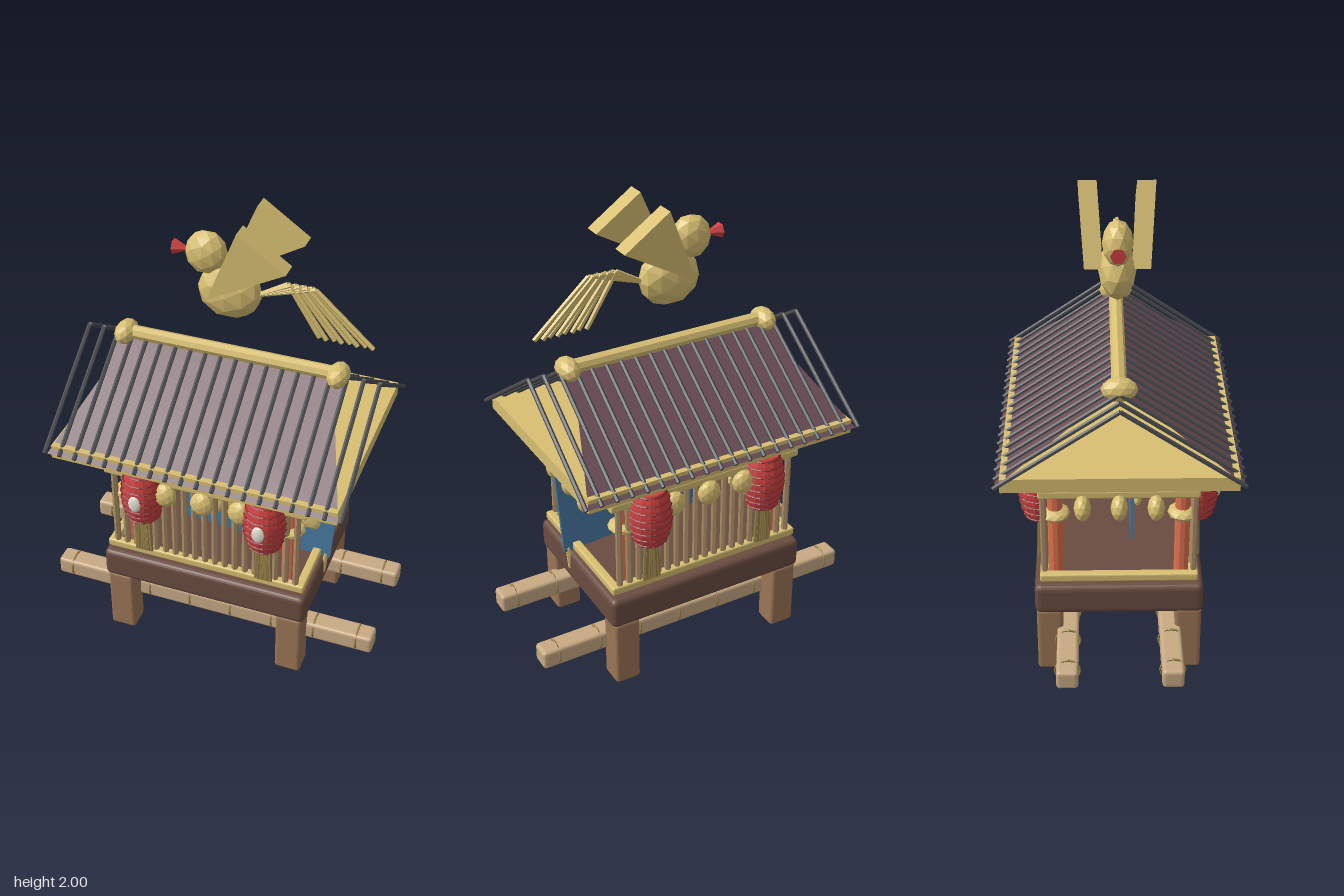
import * as THREE from 'three';
import { RoundedBoxGeometry } from 'three/addons/geometries/RoundedBoxGeometry.js';

const mat = (color, extra = {}) => new THREE.MeshStandardMaterial({ color, flatShading: true, ...extra });
const M = {
  gold: mat(0xd8bf72), wood: mat(0x9b7655), base: mat(0x6a4c40), pole: mat(0xc8aa84),
  bar: mat(0xa98c66), roof: mat(0x6b4c54), iron: mat(0x4b4c50), blue: mat(0x4a7ba5),
  post: mat(0xe0714f), red: mat(0xcc4040), dark: mat(0x7a2626), white: mat(0xe8e4d8), tassel: mat(0x9a8348)
};

export function createModel() {
  const root = new THREE.Group();
  const signs = [-1, 1];

  const add = (name, geo, material, x = 0, y = 0, z = 0, parent = root) => {
    const m = new THREE.Mesh(geo, material);
    m.name = name;
    m.position.set(x, y, z);
    parent.add(m);
    return m;
  };
  const box = (name, w, h, d, material, x, y, z, r = 0.012) =>
    add(name, new RoundedBoxGeometry(w, h, d, 2, r), material, x, y, z);
  const ball = (name, rx, ry, rz, material, x, y, z, parent = root) => {
    const m = add(name, new THREE.IcosahedronGeometry(1, 1), material, x, y, z, parent);
    m.scale.set(rx, ry, rz);
    return m;
  };
  // Straight round rod between two points
  const rod = (name, a, b, r, material, parent = root, sides = 6) => {
    const A = new THREE.Vector3(...a), B = new THREE.Vector3(...b);
    const m = add(name, new THREE.CylinderGeometry(r, r, A.distanceTo(B), sides), material, 0, 0, 0, parent);
    m.position.copy(A).add(B).multiplyScalar(0.5);
    m.quaternion.setFromUnitVectors(new THREE.Vector3(0, 1, 0), B.sub(A).normalize());
    return m;
  };

  // Carrying poles with binding rings
  for (const s of signs) {
    box('carryingPole', 1.48, 0.085, 0.09, M.pole, 0, 0.18, s * 0.215, 0.015);
    for (let i = 0; i < 8; i++) {
      const ring = add('poleRing', new THREE.TorusGeometry(0.051, 0.005, 5, 16), M.tassel, -0.67 + i * 0.1914, 0.18, s * 0.215);
      ring.rotation.y = Math.PI / 2;
    }
  }

  // Base and legs
  box('base', 0.92, 0.14, 0.7, M.base, 0, 0.37, 0, 0.025);
  for (const x of signs) for (const z of signs) {
    box('leg', 0.115, 0.31, 0.11, M.wood, x * 0.39, 0.155, z * 0.29, 0.015);
    // Corner posts with flattened collars
    add('cornerPost', new THREE.CylinderGeometry(0.031, 0.031, 0.57, 10), M.post, x * 0.36, 0.72, z * 0.26);
    for (const y of [0.745, 0.94]) ball('postCollar', 0.065, 0.028, 0.062, M.gold, x * 0.36, y, z * 0.26);
  }

  // Rails on four sides, lattice on front and back, beads below the upper rail
  for (const s of signs) {
    for (const y of [0.473, 0.88]) {
      box('longRail', 0.89, 0.037, 0.037, M.gold, 0, y, s * 0.307, 0.008);
      box('sideRail', 0.037, 0.037, 0.65, M.gold, s * 0.426, y, 0, 0.008);
    }
    for (let i = 0; i < 19; i++) {
      const x = -0.405 + i * 0.045;
      rod('latticeBar', [x, 0.48, s * 0.307], [x, 0.87, s * 0.307], 0.014, M.bar);
    }
    for (const t of [-1, 0, 1]) {
      ball('railBead', 0.052, 0.056, 0.035, M.gold, t * 0.165, 0.828, s * 0.335);
      ball('railBead', 0.052, 0.056, 0.035, M.gold, s * 0.456, 0.828, t * 0.147);
    }
  }

  // Inner hanging sheet with a tassel
  const sheet = add('hangingSheet', new THREE.BoxGeometry(0.69, 0.52, 0.014), M.blue, 0.158, 0.735, 0.06);
  sheet.rotation.z = -0.07;
  rod('sheetTassel', [0.455, 0.36, 0.06], [0.465, 0.47, 0.06], 0.011, M.gold);

  // Petalled rosettes on the sheet
  for (const x of [-0.03, 0.33]) {
    const flower = new THREE.Group();
    flower.name = 'rosette';
    flower.position.set(x, 0.72, 0.085);
    root.add(flower);
    for (let i = 0; i < 8; i++) {
      const a = i * Math.PI / 4;
      ball('petal', 0.058, 0.042, 0.02, M.gold, Math.cos(a) * 0.085, Math.sin(a) * 0.085, 0, flower).rotation.z = a;
    }
    ball('rosetteCentre', 0.045, 0.045, 0.035, M.red, 0, 0, 0.037, flower);
  }

  // Barrel lanterns
  const radiusAt = y => 0.092 - 0.026 * (y / 0.125) ** 2;
  const profile = [new THREE.Vector2(0, -0.125)];
  for (let i = 0; i <= 8; i++) {
    const y = -0.125 + i * 0.03125;
    profile.push(new THREE.Vector2(radiusAt(y), y));
  }
  profile.push(new THREE.Vector2(0, 0.125));
  const barrel = new THREE.LatheGeometry(profile, 14);
  for (const x of signs) for (const z of signs) {
    const lantern = new THREE.Group();
    lantern.name = 'lantern';
    lantern.position.set(x * 0.27, 0.805, z * 0.32);
    root.add(lantern);
    add('lanternBody', barrel, M.red, 0, 0, 0, lantern);
    for (let i = 0; i < 8; i++) {
      const y = -0.115 + i * 0.0329;
      const rib = add('lanternRib', new THREE.TorusGeometry(radiusAt(y), 0.004, 4, 14), M.dark, 0, y, 0, lantern);
      rib.rotation.x = Math.PI / 2;
    }
    rod('lanternCord', [0, 0.12, 0], [0, 0.2, 0], 0.005, M.iron, lantern);
    if (z > 0) ball('lanternSpot', 0.028, 0.042, 0.012, M.white, 0, 0, 0.09, lantern);
    // Flat bundle of threads
    for (let i = -3; i <= 3; i++)
      rod('tasselThread', [i * 0.008, -0.12, z * 0.008], [i * 0.011, -0.312, z * 0.012], 0.008, M.tassel, lantern, 5);
  }

  // Roof board and the two open slopes
  add('roofBoard', new THREE.BoxGeometry(1.21, 0.06, 0.92), M.gold, 0, 1.03, 0);
  const slope = new THREE.Shape([[-0.615, 0], [0.615, 0], [0.497, 0.38], [0.497, 0.58], [-0.497, 0.58], [-0.497, 0.38]]
    .map(p => new THREE.Vector2(...p)));
  for (const s of signs) {
    const pivot = new THREE.Group();
    pivot.name = 'roofSlope';
    pivot.rotation.y = s > 0 ? 0 : Math.PI;
    root.add(pivot);
    const panel = add('roofPanel', new THREE.ShapeGeometry(slope), M.roof, 0, 1.03, 0.478, pivot);
    panel.rotation.x = -Math.atan2(0.478, 0.33);
    for (let i = 0; i < 20; i++) {
      const x = -0.625 + i * 1.25 / 19;
      rod('roofBatten', [x, 1.032, 0.482], [x, 1.362, 0], 0.0095, M.iron, pivot);
    }
    ball('ridgeFinial', 0.047, 0.049, 0.072, M.gold, s * 0.457, 1.365, 0);
  }
  rod('ridgeBeam', [-0.46, 1.37, 0], [0.46, 1.37, 0], 0.03, M.gold, root, 8);

  // Bird above the ridge
  const bird = new THREE.Group();
  bird.name = 'bird';
  root.add(bird);
  ball('birdBody', 0.135, 0.12, 0.077, M.gold, 0, 1.66, 0, bird);
  ball('birdHead', 0.087, 0.092, 0.062, M.gold, -0.098, 1.81, 0, bird);
  const beak = add('beak', new THREE.ConeGeometry(0.032, 0.075, 6), M.red, -0.198, 1.81, 0, bird);
  beak.rotation.z = -Math.PI / 2;

  // Wedge wings, leaning outward away from the shoulder
  const wing = new THREE.Shape([[-0.05, 1.68], [0.275, 1.865], [0.08, 2]].map(p => new THREE.Vector2(...p)));
  for (const s of signs) {
    const g = new THREE.ExtrudeGeometry(wing, { depth: 0.075, bevelEnabled: false });
    const p = g.attributes.position;
    for (let i = 0; i < p.count; i++) {
      const inner = p.getX(i) < 0 ? 0.057 : 0.079;
      p.setZ(i, s > 0 ? inner + p.getZ(i) : -inner - 0.075 + p.getZ(i));
    }
    g.computeVertexNormals();
    add('wing', g, M.gold, 0, 0, 0, bird);
  }

  // Tail plumes rising from the body, then fanning down
  for (let i = 0; i < 8; i++) {
    const t = i / 7, z = (i % 2 - 0.5) * 0.008;
    const bend = [0.235 + 0.115 * t, 1.735, z];
    rod('tailStem', [0.11, 1.66, 0], bend, 0.009, M.gold, bird, 5);
    rod('tailPlume', bend, [0.37 + 0.22 * t, 1.52, z], 0.01, M.gold, bird, 5);
  }
  return root;
}
